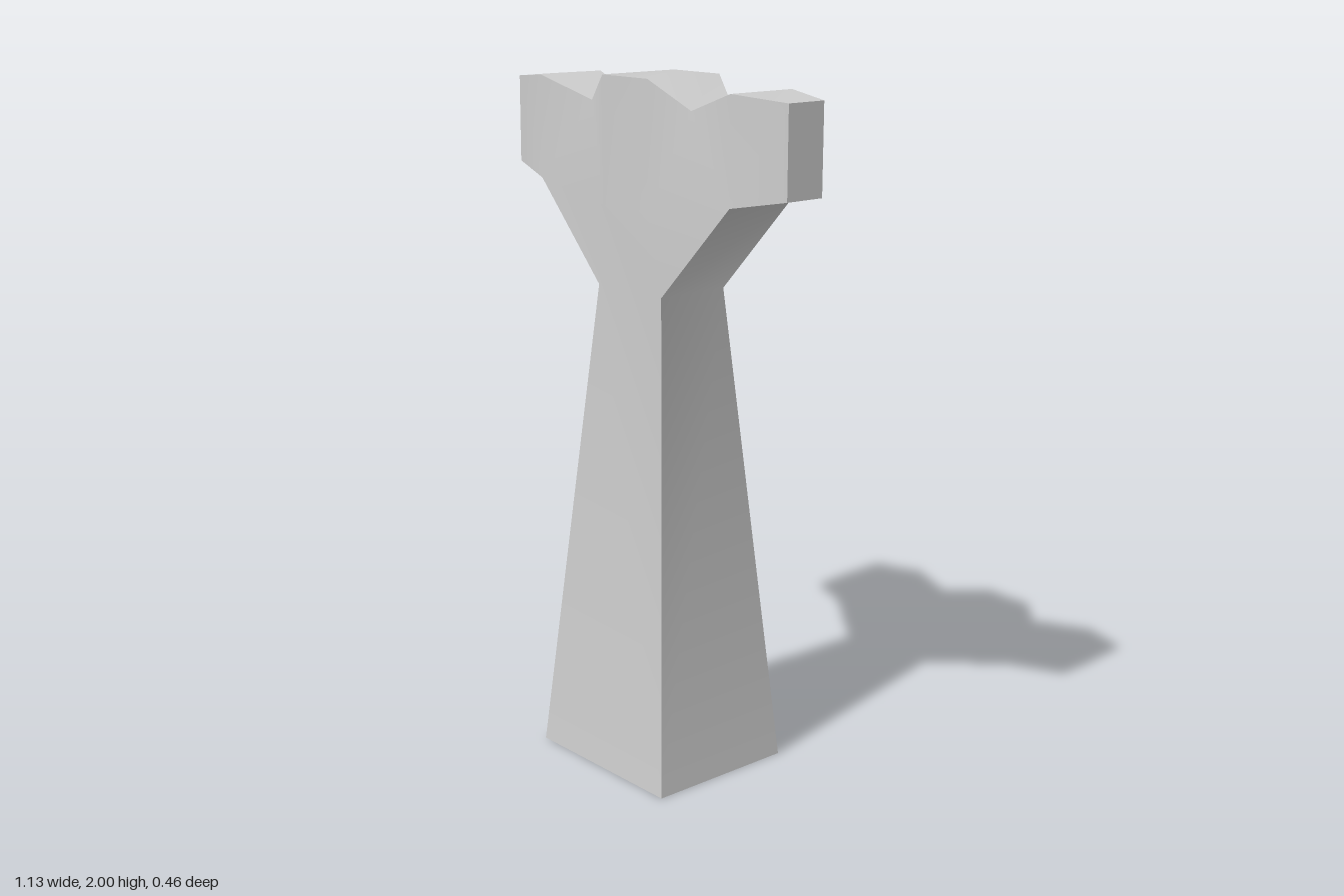
import * as THREE from 'three';
import { toCreasedNormals } from 'three/addons/utils/BufferGeometryUtils.js';

// Right half of the outline, from the foot up and round to the crown: x, y, half depth
const HALF = [
  [0.27, 0, 0.23],       // 0 foot
  [0.135, 1.41, 0.115],  // 1 waist
  [0.4, 1.685, 0.11],    // 2 arm underside
  [0.565, 1.715, 0.063], // 3 arm tip, low
  [0.565, 1.965, 0.063], // 4 arm tip, high
  [0.4, 1.98, 0.11],     // 5 arm top
  [0.21, 1.92, 0.075],   // 6 notch
  [0.095, 2, 0.13],      // 7 crown
];
const CHEST = [0.095, 1.64, 0.13]; // 8 inner point of the face

// Faces of the right half, and rows bridging the two halves
const HALF_FACES = [[1, 2, 8], [2, 6, 8], [6, 7, 8], [2, 5, 6], [2, 4, 5], [2, 3, 4]];
const BRIDGES = [[0, 1], [1, 8], [8, 7]];

function buildShell() {
  const points = [...HALF, CHEST];
  const out = [];
  const at = (i, sx, sz) => [points[i][0] * sx, points[i][1], points[i][2] * sz];
  const tri = (a, b, c, flip) => out.push(...a, ...(flip ? c : b), ...(flip ? b : c));

  for (const sz of [1, -1]) {
    // broad face: mirrored halves plus the middle
    for (const sx of [1, -1]) {
      for (const [a, b, c] of HALF_FACES) {
        tri(at(a, sx, sz), at(b, sx, sz), at(c, sx, sz), sx * sz < 0);
      }
    }
    for (const [lo, hi] of BRIDGES) {
      tri(at(lo, 1, sz), at(hi, 1, sz), at(hi, -1, sz), sz < 0);
      tri(at(lo, 1, sz), at(hi, -1, sz), at(lo, -1, sz), sz < 0);
    }
  }

  // rim joining front to back; the foot stays open
  const rim = (i, si, j, sj) => {
    tri(at(i, si, 1), at(i, si, -1), at(j, sj, -1));
    tri(at(i, si, 1), at(j, sj, -1), at(j, sj, 1));
  };
  for (let i = 0; i < HALF.length - 1; i++) {
    rim(i, 1, i + 1, 1);
    rim(i + 1, -1, i, -1);
  }
  rim(7, 1, 7, -1);

  const geometry = new THREE.BufferGeometry();
  geometry.setAttribute('position', new THREE.Float32BufferAttribute(out, 3));
  return toCreasedNormals(geometry, Math.PI / 3);
}

export function createModel() {
  const stone = new THREE.MeshStandardMaterial({ color: 0xcccccc, side: THREE.DoubleSide });
  stone.name = 'light grey';
  const pillar = new THREE.Mesh(buildShell(), stone);
  pillar.name = 'pillarWithArms';
  const model = new THREE.Group();
  model.name = 'pillar';
  model.add(pillar);
  return model;
}
